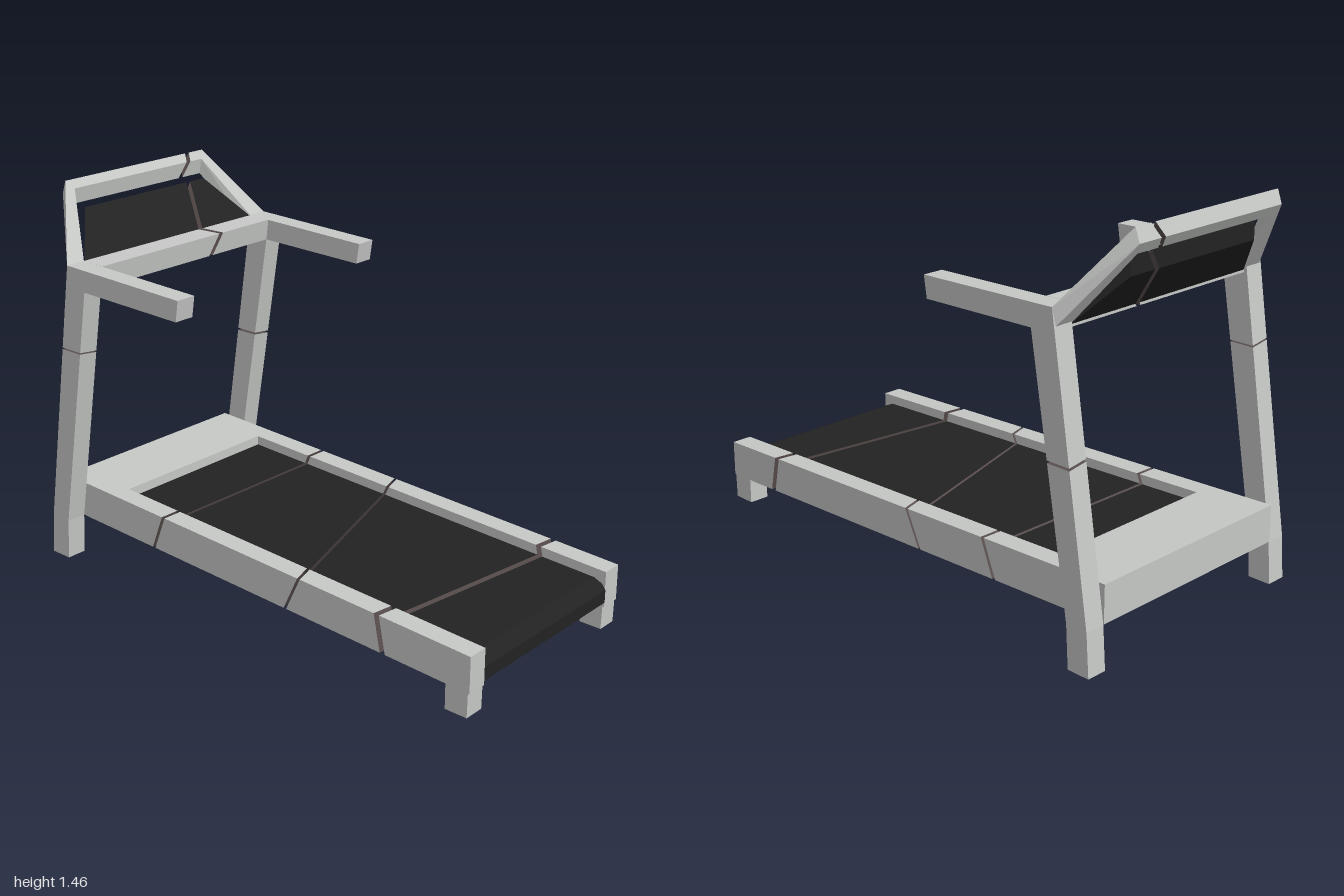
import * as THREE from 'three';

const frameMat = new THREE.MeshStandardMaterial({ color: 0xc6c8c6 });
frameMat.name = 'light grey frame';
const beltMat = new THREE.MeshStandardMaterial({ color: 0x222222 });
beltMat.name = 'black belt';
const crackMat = new THREE.MeshStandardMaterial({ color: 0x5a4e4e });
crackMat.name = 'brown crack';

// Cracks are planes n.p = d with a gap of width w
const deckCracks = [
  { n: [1, -0.4, 0.015], d: -0.534, w: 0.014 },
  { n: [1, -0.48, -0.325], d: -0.015, w: 0.012 },
  { n: [1, 0.2, 0.13], d: 0.71, w: 0.022 },
];
const consoleCrack = { n: [0.15, 0.55, 1], d: 0.383, w: 0.02 };
const uprightCracks = {
  1: { n: [0, 1, -0.13], d: 0.808, w: 0.006 },
  [-1]: { n: [0, 1, -0.13], d: 0.762, w: 0.009 },
};

const lerp = (a, b, t) => a.map((v, i) => v + (b[i] - v) * t);

// Split the span from section A to section B wherever a crack crosses all of its edges
function splitSpan(A, B, cracks) {
  const spans = [];
  let start = A;
  for (const { n, d, w } of cracks) {
    const f = p => n[0] * p[0] + n[1] * p[1] + n[2] * p[2] - d;
    const dir = Math.sign(f(B[0]) - f(A[0]));
    const cutAt = offset => A.map((a, i) => (offset - f(a)) / (f(B[i]) - f(a)));
    const t0 = cutAt(-dir * w / 2), t1 = cutAt(dir * w / 2);
    if (![...t0, ...t1].every(t => t > 0 && t < 1)) continue;
    spans.push([start, A.map((a, i) => lerp(a, B[i], t0[i])), true]);
    start = A.map((a, i) => lerp(a, B[i], t1[i]));
  }
  spans.push([start, B, false]);
  return spans;
}

// Faceted beam through four-cornered sections, with brown ends at each crack
function beam(name, sections, material, cracks = []) {
  const skin = [], broken = [];
  const quad = (list, a, b, c, d) => list.push([a, b, c], [a, c, d]);
  let capTarget = skin;
  for (let s = 0; s < sections.length - 1; s++) {
    const spans = splitSpan(sections[s], sections[s + 1], cracks);
    spans.forEach(([A, B, cutAfter], k) => {
      if (s === 0 || k > 0) quad(capTarget, A[3], A[2], A[1], A[0]);
      for (let i = 0; i < 4; i++) {
        const j = (i + 1) % 4;
        quad(skin, A[i], A[j], B[j], B[i]);
      }
      if (cutAfter) quad(broken, ...B);
      else if (s === sections.length - 2) quad(skin, ...B);
      capTarget = cutAfter ? broken : skin;
    });
  }
  // Turn every face outward
  let volume = 0;
  for (const [a, b, c] of [...skin, ...broken]) {
    volume += a[0] * (b[1] * c[2] - b[2] * c[1])
      + a[1] * (b[2] * c[0] - b[0] * c[2])
      + a[2] * (b[0] * c[1] - b[1] * c[0]);
  }
  const flat = list => list.flatMap(t => (volume < 0 ? [t[0], t[2], t[1]] : t).flat());
  const geo = new THREE.BufferGeometry();
  geo.setAttribute('position', new THREE.Float32BufferAttribute([...flat(skin), ...flat(broken)], 3));
  geo.addGroup(0, skin.length * 3, 0);
  geo.addGroup(skin.length * 3, broken.length * 3, 1);
  geo.computeVertexNormals();
  const mesh = new THREE.Mesh(geo, [material, crackMat]);
  mesh.name = name;
  return mesh;
}

// Section between two points of the side profile, spanning z0 to z1
const across = ([xa, ya], [xb, yb], z0, z1) =>
  [[xa, ya, z0], [xb, yb, z0], [xb, yb, z1], [xa, ya, z1]];

// Sloping deck lines
const deckTop = x => 0.305 - 0.038 * (x + 0.97);
const deckBottom = x => 0.163 - 0.0362 * (x + 0.965);

export function createModel() {
  const model = new THREE.Group();
  model.name = 'treadmill';

  for (const s of [1, -1]) {
    const side = s > 0 ? 'left' : 'right';
    const inner = 0.44 * s, outer = 0.52 * s, railIn = 0.36 * s;

    // Deck rail and rear foot
    const railEnd = x => across([x, deckTop(x)], [x, deckBottom(x)], railIn, inner);
    model.add(beam(side + 'Rail', [railEnd(-0.97), railEnd(0.998)], frameMat, deckCracks));
    model.add(beam(side + 'RearFoot', [
      across([0.9, 0.1], [0.992, 0.1], railIn, inner),
      across([0.9, 0], [0.99, 0], railIn, inner),
    ], frameMat));

    // Front foot, then upright bending into the handle
    const ankle = across([-0.968, 0.16], [-0.88, 0.16], inner, outer);
    model.add(beam(side + 'FrontFoot',
      [across([-0.98, 0], [-0.89, 0], inner, outer), ankle], frameMat));
    model.add(beam(side + 'UprightAndHandle', [
      ankle,
      across([-0.8, 1.205], [-0.712, 1.12], inner, outer),
      across([-0.225, 1.19], [-0.238, 1.11], inner, outer),
    ], frameMat, [uprightCracks[s]]));
  }

  // Motor housing at the front end of the deck
  const housingEnd = x => across([x, deckTop(x)], [x, deckBottom(x)], -0.36, 0.36);
  model.add(beam('motorHousing', [housingEnd(-0.97), housingEnd(-0.7)], frameMat));

  // Running belt with a rounded rear end
  const beltAt = (x, top, bottom) => across([x, top], [x, bottom], -0.36, 0.36);
  model.add(beam('runningBelt', [
    beltAt(-0.88, deckTop(-0.88) - 0.037, deckBottom(-0.88) - 0.004),
    beltAt(0.95, deckTop(0.95) - 0.037, deckBottom(0.95) - 0.004),
    beltAt(0.985, 0.18, 0.096),
    beltAt(1, 0.16, 0.11),
  ], beltMat, deckCracks));

  // Crossbar between the uprights
  const barEnd = z => [[-0.8, 1.205, z], [-0.7, 1.203, z], [-0.712, 1.12, z], [-0.8, 1.122, z]];
  model.add(beam('crossbar', [barEnd(0.44), barEnd(-0.44)], frameMat, [consoleCrack]));

  // Tilted console frame, running up one side, across and down the other
  const frameFoot = s => [[-0.8, 1.205, 0.52 * s], [-0.8, 1.205, 0.44 * s],
    [-0.8, 1.13, 0.44 * s], [-0.8, 1.13, 0.52 * s]];
  const frameTop = s => [[-0.982, 1.46, 0.355 * s], [-0.96, 1.43, 0.33 * s],
    [-0.972, 1.37, 0.33 * s], [-1, 1.41, 0.355 * s]];
  model.add(beam('consoleFrame',
    [frameFoot(1), frameTop(1), frameTop(-1), frameFoot(-1)], frameMat, [consoleCrack]));

  // Dark console panel inside the frame
  const panelEnd = s => [[-0.797, 1.2, 0.44 * s], [-0.93, 1.36, 0.31 * s],
    [-0.93, 1.285, 0.31 * s], [-0.797, 1.128, 0.44 * s]];
  model.add(beam('consolePanel', [panelEnd(1), panelEnd(-1)], beltMat, [consoleCrack]));

  return model;
}
